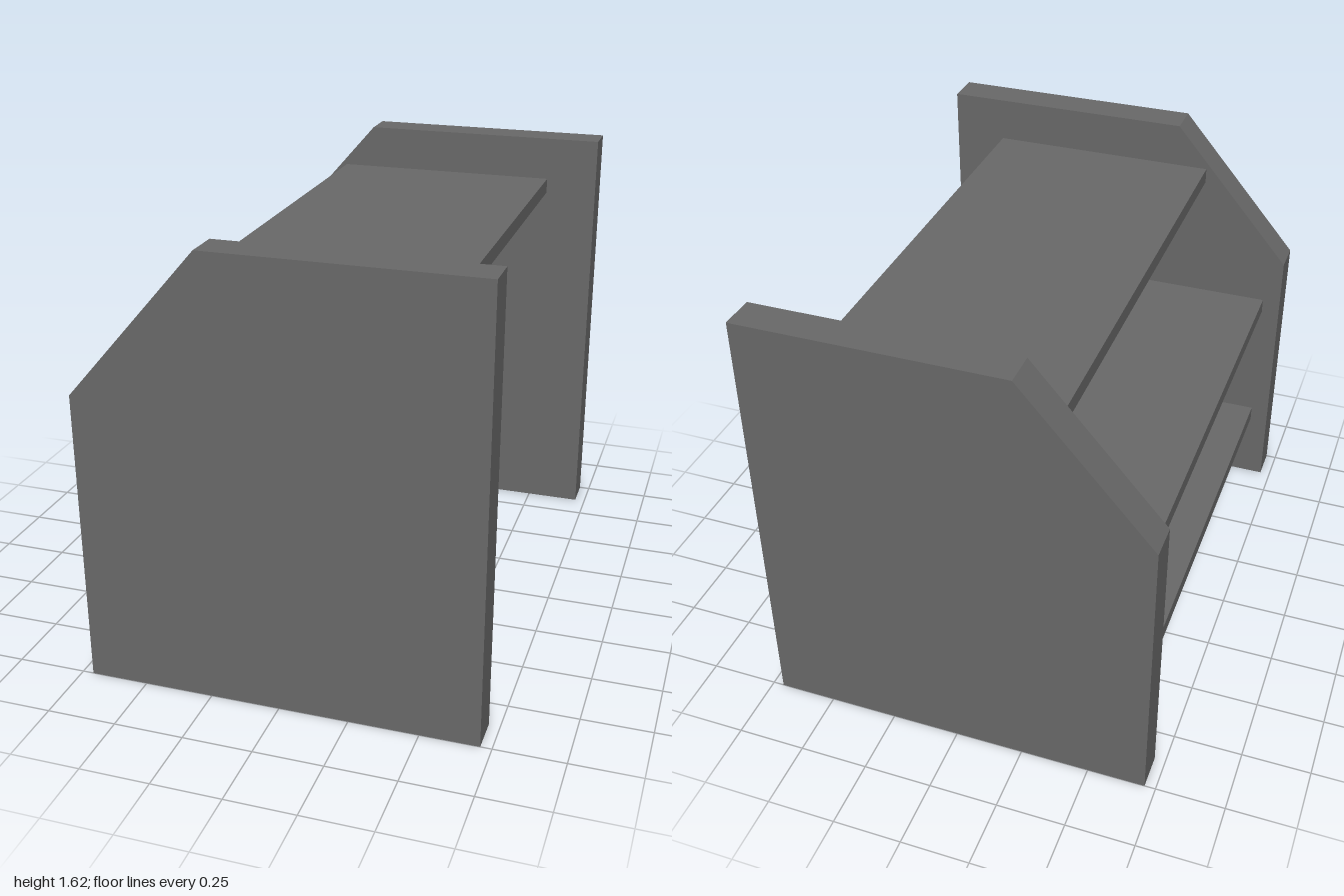
import * as THREE from 'three';

export function createModel() {
  const group = new THREE.Group();
  const grey = new THREE.MeshStandardMaterial({ color: 0x696969 });
  grey.name = 'dark grey';

  const add = (name, geometry, x, y, z) => {
    const mesh = new THREE.Mesh(geometry, grey);
    mesh.name = name;
    mesh.position.set(x, y, z);
    group.add(mesh);
  };

  // Two end panels with one sloped upper corner
  const thickness = 0.13;
  const outline = new THREE.Shape([
    [-0.71, 0], [0.71, 0], [0.71, 1.62], [-0.24, 1.62], [-0.71, 1.08],
  ].map(([x, y]) => new THREE.Vector2(x, y)));
  const panel = new THREE.ExtrudeGeometry(outline, { depth: thickness, bevelEnabled: false });
  add('frontPanel', panel, 0, 0, 1 - thickness);
  add('backPanel', panel, 0, 0, -1);

  // Three equal shelves between the panels, the top one set further to +x
  const shelf = new THREE.BoxGeometry(0.87, 0.058, 2 - 2 * thickness);
  [
    ['lowerShelf', -0.205, 0.315],
    ['middleShelf', -0.205, 0.87],
    ['topShelf', 0.075, 1.424],
  ].forEach(([name, x, y]) => add(name, shelf, x, y, 0));

  return group;
}
